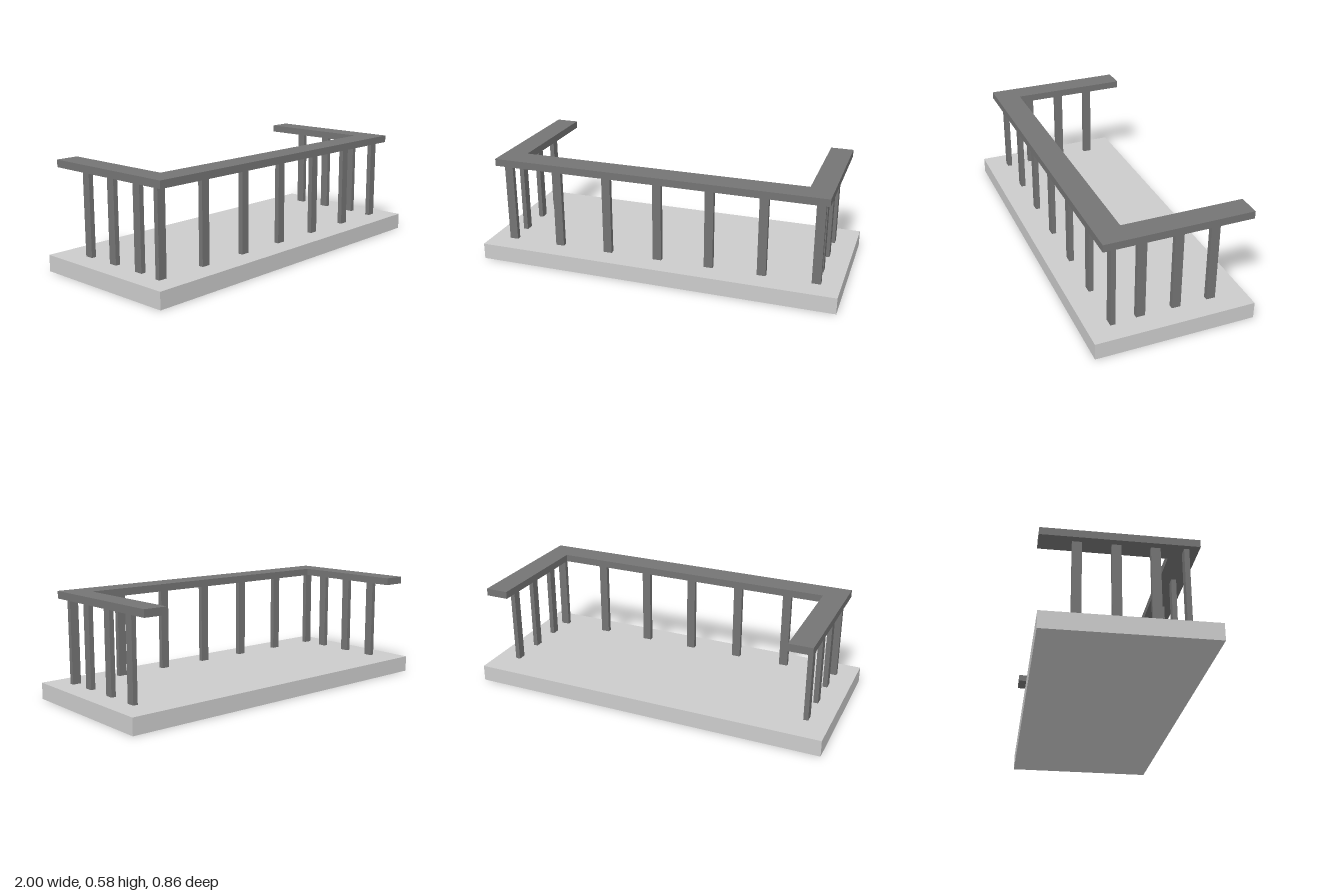
import * as THREE from 'three';

const SLAB_H = 0.09, RAIL_Y = 0.545, RAIL_H = 0.04;

export function createModel() {
  const group = new THREE.Group();
  const stone = new THREE.MeshStandardMaterial({ color: 0xcccccc });
  const metal = new THREE.MeshStandardMaterial({ color: 0x747474 });

  function add(name, geometry, material, x, y, z) {
    const mesh = new THREE.Mesh(geometry, material);
    mesh.name = name;
    mesh.position.set(x, y, z);
    group.add(mesh);
    return mesh;
  }

  // Balcony floor
  add('floorSlab', new THREE.BoxGeometry(2, SLAB_H, 0.86), stone, 0, SLAB_H / 2, 0);

  // U-shaped handrail, open at the back; shape y becomes -z once laid flat
  const outline = [
    [-0.923, -0.36], [0.923, -0.36], [0.923, 0.43], [0.797, 0.43],
    [0.797, -0.222], [-0.797, -0.222], [-0.797, 0.43], [-0.923, 0.43],
  ].map(([x, y]) => new THREE.Vector2(x, y));
  const railGeo = new THREE.ExtrudeGeometry(new THREE.Shape(outline), { depth: RAIL_H, bevelEnabled: false });
  railGeo.rotateX(-Math.PI / 2);
  add('handrail', railGeo, metal, 0, RAIL_Y, 0);

  // Flat balusters, broad face outwards
  const postH = RAIL_Y - SLAB_H, postY = SLAB_H + postH / 2;
  const postGeo = new THREE.BoxGeometry(0.048, postH, 0.026);
  for (let i = -3; i <= 3; i++) {
    add('frontBaluster', postGeo, metal, i * 0.2907, postY, 0.296);
  }
  for (const side of [-1, 1]) {
    for (let i = 0; i < 3; i++) {
      const name = side > 0 ? 'leftBaluster' : 'rightBaluster';
      add(name, postGeo, metal, side * 0.872, postY, 0.144 - i * 0.1935).rotation.y = Math.PI / 2;
    }
  }

  return group;
}
